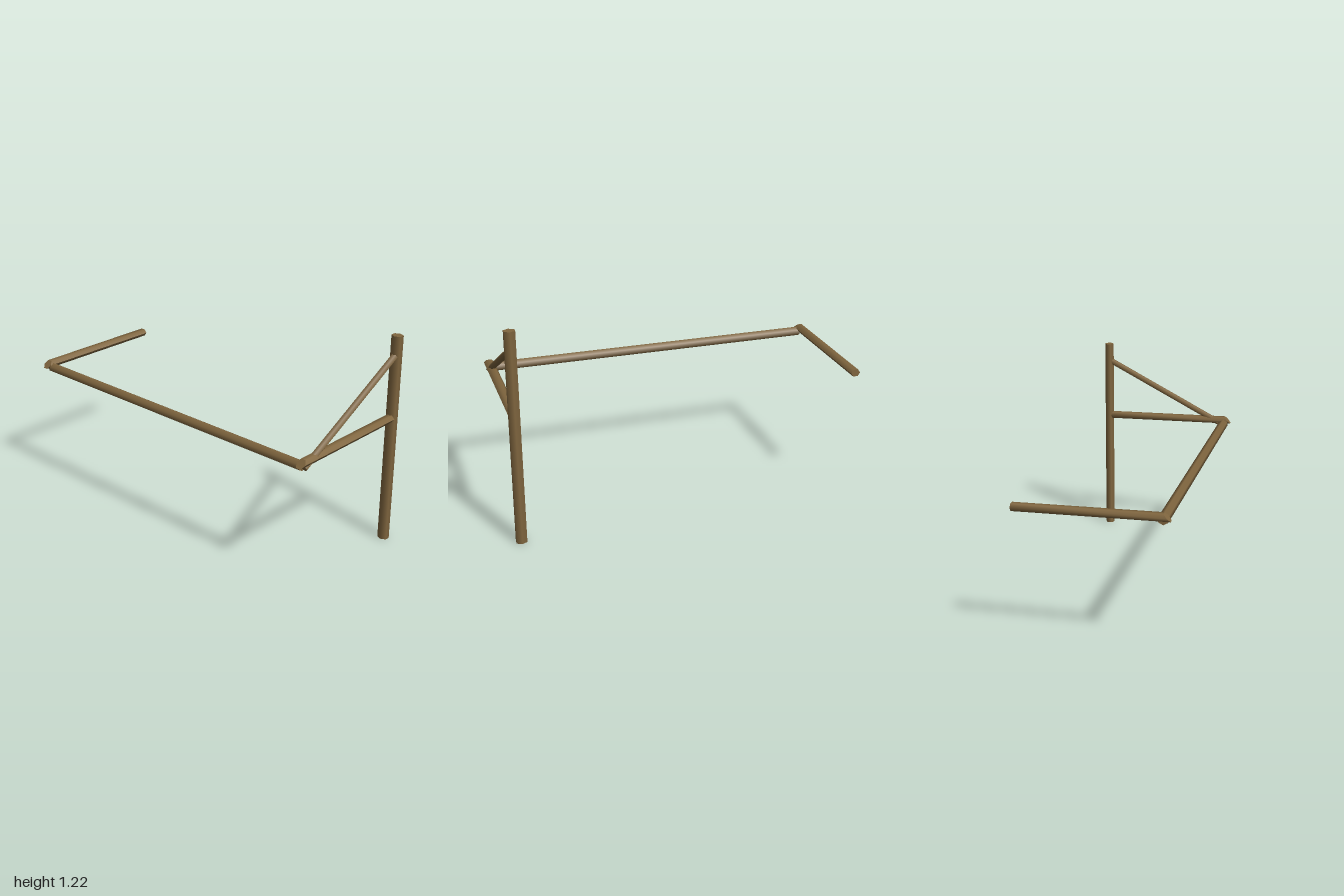
import * as THREE from 'three';

export function createModel() {
  const group = new THREE.Group();
  const wood = new THREE.MeshStandardMaterial({ color: 0x80663f });
  wood.name = 'brown wood';

  // Six-sided pole from a to b. "ridge" is the direction a corner points;
  // wide and deep are the half sizes across and along the ridge.
  // endCut slants the far end: the side facing down sticks out further.
  function pole(name, a, b, ridge, wide, deep, endCut = 0) {
    const start = new THREE.Vector3(...a);
    const end = new THREE.Vector3(...b);
    const dir = end.clone().sub(start);
    const length = dir.length();
    dir.normalize();
    const z = new THREE.Vector3(...ridge);
    z.addScaledVector(dir, -z.dot(dir)).normalize();
    const x = new THREE.Vector3().crossVectors(dir, z);
    const geo = new THREE.CylinderGeometry(1, 1, length, 6);
    geo.scale(wide / Math.sin(Math.PI / 3), 1, deep);
    geo.applyMatrix4(new THREE.Matrix4().makeBasis(x, dir, z));
    const mid = start.add(end).multiplyScalar(0.5);
    const p = geo.attributes.position;
    const v = new THREE.Vector3();
    for (let i = 0; i < p.count; i++) {
      v.fromBufferAttribute(p, i);
      if (v.dot(dir) > length * 0.49) v.addScaledVector(dir, -endCut * v.y);
      p.setXYZ(i, v.x, v.y, v.z);
    }
    geo.translate(mid.x, mid.y, mid.z);
    if (endCut) geo.computeVertexNormals();
    const mesh = new THREE.Mesh(geo, wood);
    mesh.name = name;
    group.add(mesh);
  }

  // Upright post at the back
  pole('post', [0.968, 0, -0.387], [0.968, 1.215, -0.387], [0, 0, 1], 0.029, 0.028);

  // Side rails with slanted front ends
  pole('leftRail', [0.968, 0.745, -0.38], [0.968, 0.751, 0.397], [1, 0, 0], 0.02, 0.028, 0.9);
  pole('rightRail', [-0.972, 0.745, -0.4], [-0.972, 0.751, 0.397], [1, 0, 0], 0.02, 0.028, 0.9);

  // Long front crossbar
  pole('crossbar', [-0.96, 0.731, 0.37], [0.96, 0.729, 0.37], [0, 1, 0], 0.025, 0.028);

  // Diagonal brace from the post down to the rail
  pole('brace', [0.968, 1.103, -0.375], [0.968, 0.717, 0.368], [1, 0, 0], 0.015, 0.021);

  return group;
}
